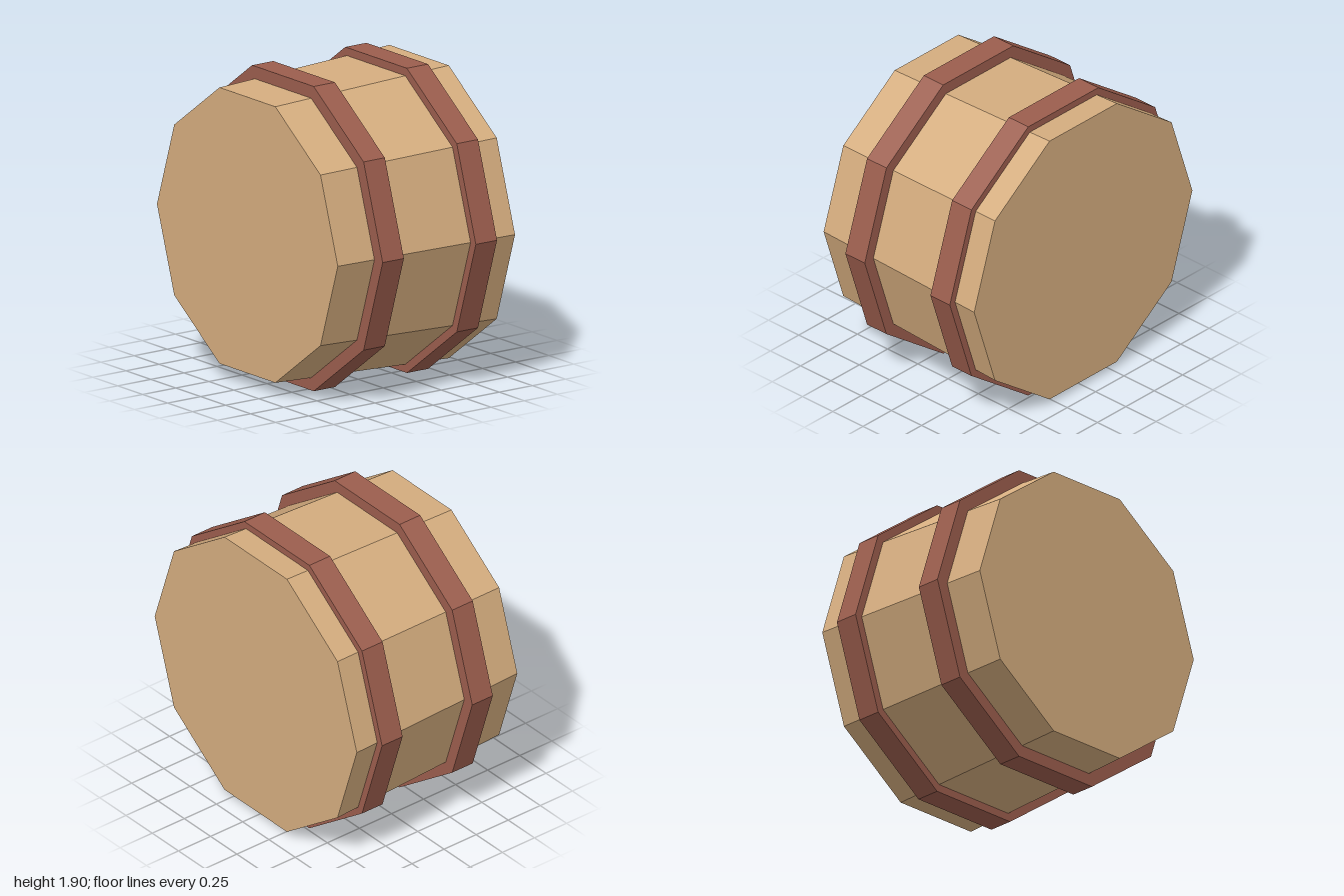
import * as THREE from 'three';

const SIDES = 10;
const CENTRE_Y = Math.cos(Math.PI / SIDES); // flat facet rests on the ground

export function createModel() {
  const wood = new THREE.MeshStandardMaterial({ color: 0xd4ac7e, flatShading: true });
  wood.name = 'wood';
  const rust = new THREE.MeshStandardMaterial({ color: 0x9b5d4d, flatShading: true });
  rust.name = 'rustyIron';

  const group = new THREE.Group();
  group.name = 'barrel';

  // Ten-sided drum lying along x
  const addDrum = (name, material, rLeft, rRight, x0, x1) => {
    const geometry = new THREE.CylinderGeometry(rLeft, rRight, x1 - x0, SIDES);
    geometry.rotateZ(-Math.PI / 2);
    const mesh = new THREE.Mesh(geometry, material);
    mesh.name = name;
    mesh.position.set((x0 + x1) / 2, CENTRE_Y, 0);
    group.add(mesh);
  };

  // Body, slightly wider at +x
  addDrum('body', wood, 0.961, 0.906, -0.648, 0.648);

  // Two hoops around the body
  addDrum('rightHoop', rust, 1, 1, -0.38, -0.22);
  addDrum('leftHoop', rust, 1, 1, 0.323, 0.483);

  return group;
}
